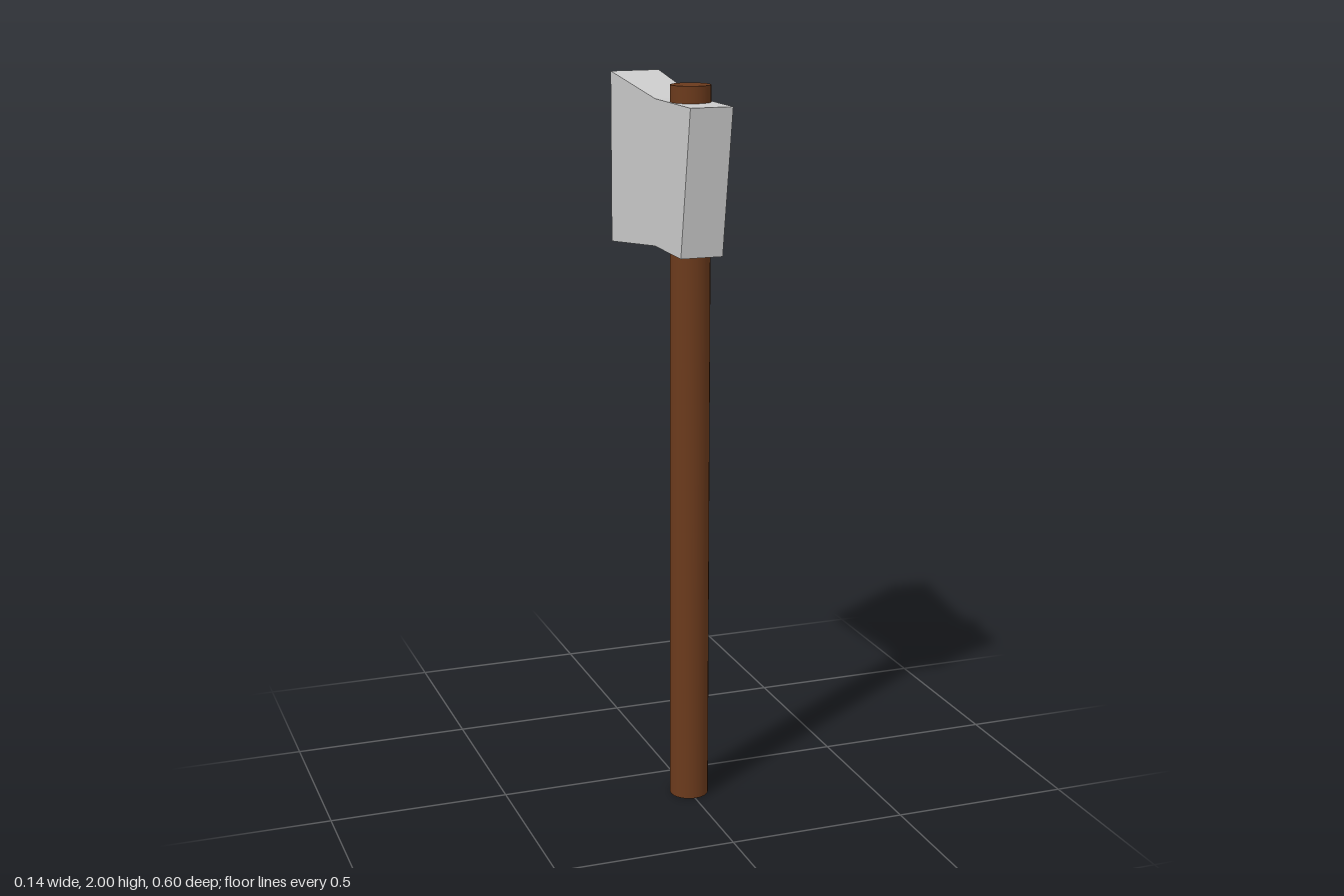
import * as THREE from 'three';

const brown = new THREE.MeshStandardMaterial({ color: 0x6b3a1c });
const grey = new THREE.MeshStandardMaterial({ color: 0xcccccc, flatShading: true });

// Head sections from blade to poll: z, left and right x, and y, at top and bottom
const sections = [
  { top: { y: 2.0, z: -0.3, x: [-0.071, 0.071] }, bottom: { y: 1.52, z: -0.3, x: [-0.071, 0.071] } },
  { top: { y: 1.955, z: 0.04, x: [-0.059, 0.058] }, bottom: { y: 1.56, z: 0.04, x: [-0.06, 0.057] } },
  { top: { y: 1.955, z: 0.3, x: [-0.055, 0.062] }, bottom: { y: 1.56, z: 0.255, x: [-0.064, 0.053] } },
];

function makeHead() {
  // A box with two segments along z, its corners moved onto the sections
  const geometry = new THREE.BoxGeometry(2, 2, 2, 1, 1, 2);
  const pos = geometry.attributes.position;
  for (let i = 0; i < pos.count; i++) {
    const section = sections[Math.round(pos.getZ(i)) + 1];
    const edge = pos.getY(i) > 0 ? section.top : section.bottom;
    pos.setXYZ(i, edge.x[pos.getX(i) > 0 ? 1 : 0], edge.y, edge.z);
  }
  const flat = geometry.toNonIndexed();
  flat.computeVertexNormals();
  const head = new THREE.Mesh(flat, grey);
  head.name = 'axeHead';
  return head;
}

function makeHandle() {
  // Straight round shaft passing right through the head
  const handle = new THREE.Mesh(new THREE.CylinderGeometry(0.054, 0.054, 2, 32), brown);
  handle.position.set(0.001, 1, 0.15);
  handle.name = 'handle';
  return handle;
}

export function createModel() {
  const axe = new THREE.Group();
  axe.name = 'axe';
  axe.add(makeHandle(), makeHead());
  return axe;
}
